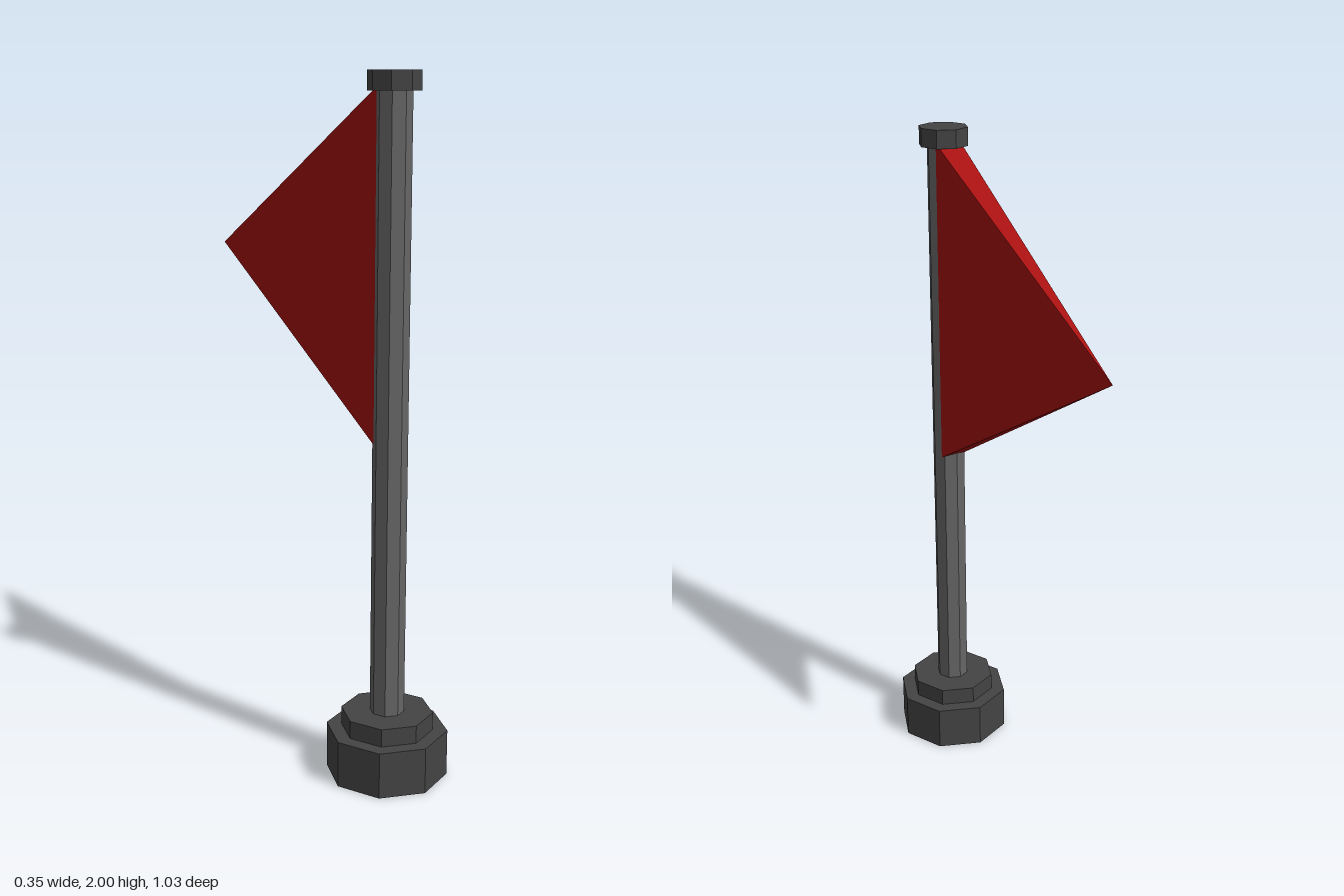
import * as THREE from 'three';

const POLE_Z = 0.337;

export function createModel() {
  const group = new THREE.Group();
  const material = (color) => new THREE.MeshStandardMaterial({ color, flatShading: true });
  const dark = material(0x444444);
  const steel = material(0x666666);
  const red = material(0xa81010);

  const add = (name, geometry, mat) => {
    const mesh = new THREE.Mesh(geometry, mat);
    mesh.name = name;
    group.add(mesh);
    return mesh;
  };

  // Octagonal parts stacked along the pole axis
  const octagon = (name, radius, bottom, top, mat) => {
    const mesh = add(name, new THREE.CylinderGeometry(radius, radius, top - bottom, 8), mat);
    mesh.position.set(0, (bottom + top) / 2, POLE_Z);
  };
  octagon('base', 0.177, 0, 0.137, dark);
  octagon('baseCollar', 0.134, 0.137, 0.19, dark);
  octagon('pole', 0.05, 0.19, 1.947, steel);
  octagon('poleCap', 0.073, 1.947, 2, dark);

  // Pennant: a thin four-sided pyramid tapering to a point at the back
  const baseZ = 0.316, tipZ = -0.513, halfWidth = 0.04, halfHeight = 0.487;
  const pennant = new THREE.ConeGeometry(Math.SQRT2, baseZ - tipZ, 4, 1, false, Math.PI / 4);
  pennant.rotateX(-Math.PI / 2);
  pennant.scale(halfWidth, halfHeight, 1);
  add('flag', pennant, red).position.set(0, 1.473, (baseZ + tipZ) / 2);

  return group;
}
